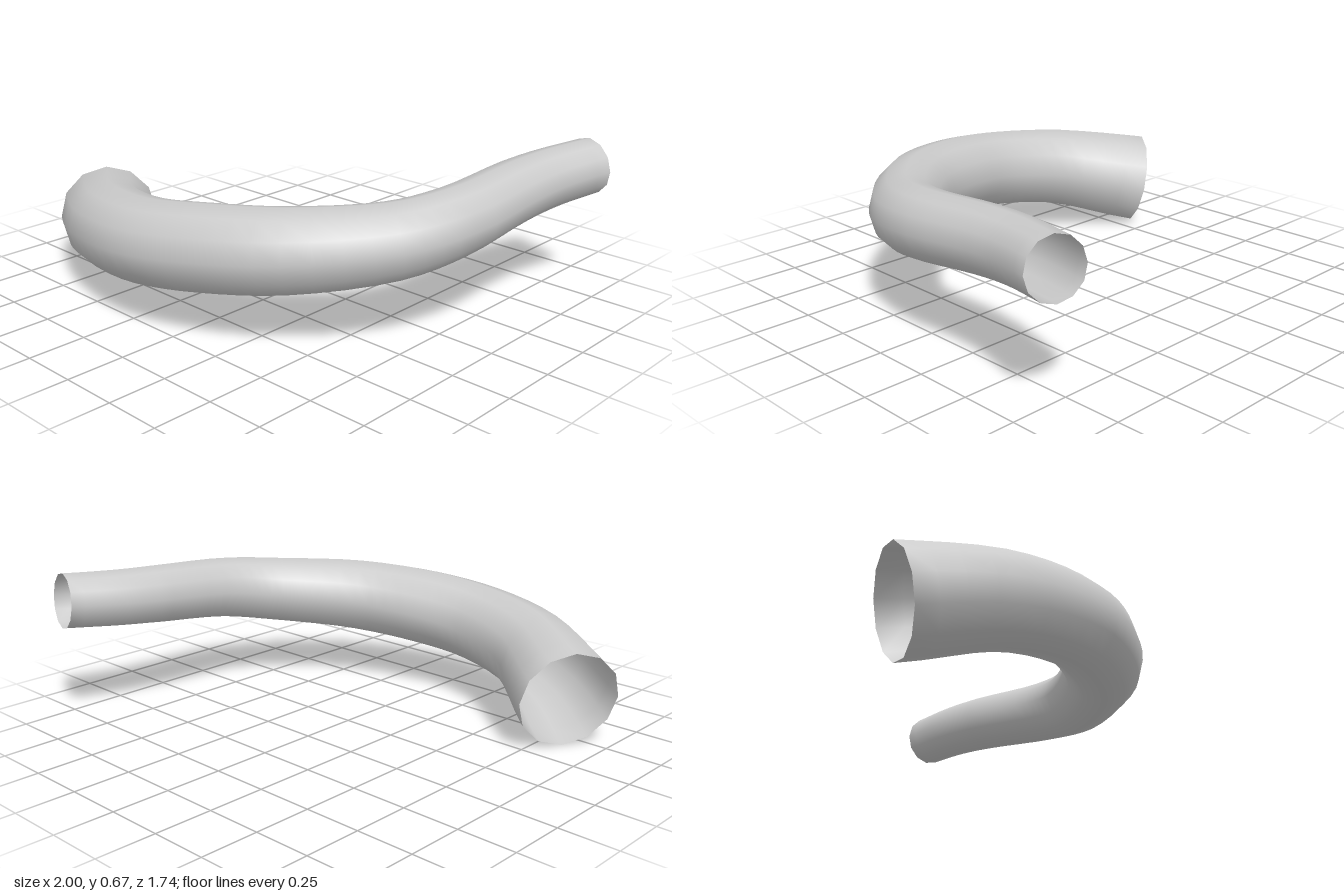
import * as THREE from 'three';

// Stations along the pipe: x, y, z, radius
const STATIONS = [
  [-0.88, 0.225, 0.385, 0.218],
  [-0.54, 0.307, 0.61, 0.19],
  [-0.2, 0.352, 0.692, 0.18],
  [0.09, 0.386, 0.645, 0.178],
  [0.4, 0.417, 0.505, 0.17],
  [0.675, 0.45, 0.22, 0.154],
  [0.775, 0.487, -0.02, 0.142],
  [0.795, 0.525, -0.4, 0.132],
  [0.82, 0.541, -0.6, 0.126],
  [0.885, 0.56, -0.84, 0.121],
];
const SIDES = 12;
const RINGS = 36;

// Open tube swept along the path, each ring square to the path with its own radius
function taperedTube(stations) {
  const path = new THREE.CatmullRomCurve3(stations.map(([x, y, z]) => new THREE.Vector3(x, y, z)));
  const radii = new THREE.SplineCurve(stations.map((s, i) => new THREE.Vector2(i, s[3])));
  const up = new THREE.Vector3(0, 1, 0);
  const positions = [];
  const index = [];
  for (let i = 0; i <= RINGS; i++) {
    const t = i / RINGS;
    const centre = path.getPoint(t);
    const tangent = path.getTangent(t);
    const side = new THREE.Vector3().crossVectors(tangent, up).normalize();
    const top = new THREE.Vector3().crossVectors(side, tangent);
    const r = radii.getPoint(t).y;
    for (let j = 0; j < SIDES; j++) {
      const a = (j / SIDES) * Math.PI * 2;
      const p = centre.clone()
        .addScaledVector(side, r * Math.cos(a))
        .addScaledVector(top, r * Math.sin(a));
      positions.push(p.x, p.y, p.z);
      if (i === RINGS) continue;
      const k = (j + 1) % SIDES;
      const [a0, a1] = [i * SIDES + j, i * SIDES + k];
      const [b0, b1] = [a0 + SIDES, a1 + SIDES];
      index.push(a0, a1, b0, a1, b1, b0);
    }
  }
  const geometry = new THREE.BufferGeometry();
  geometry.setAttribute('position', new THREE.Float32BufferAttribute(positions, 3));
  geometry.setIndex(index);
  geometry.computeVertexNormals();
  return geometry;
}

export function createModel() {
  const group = new THREE.Group();
  group.name = 'bentHose';
  // Hollow hose, open at both ends
  const hose = new THREE.Mesh(
    taperedTube(STATIONS),
    new THREE.MeshStandardMaterial({ color: 0xcccccc, side: THREE.DoubleSide })
  );
  hose.name = 'hose';
  group.add(hose);
  return group;
}
